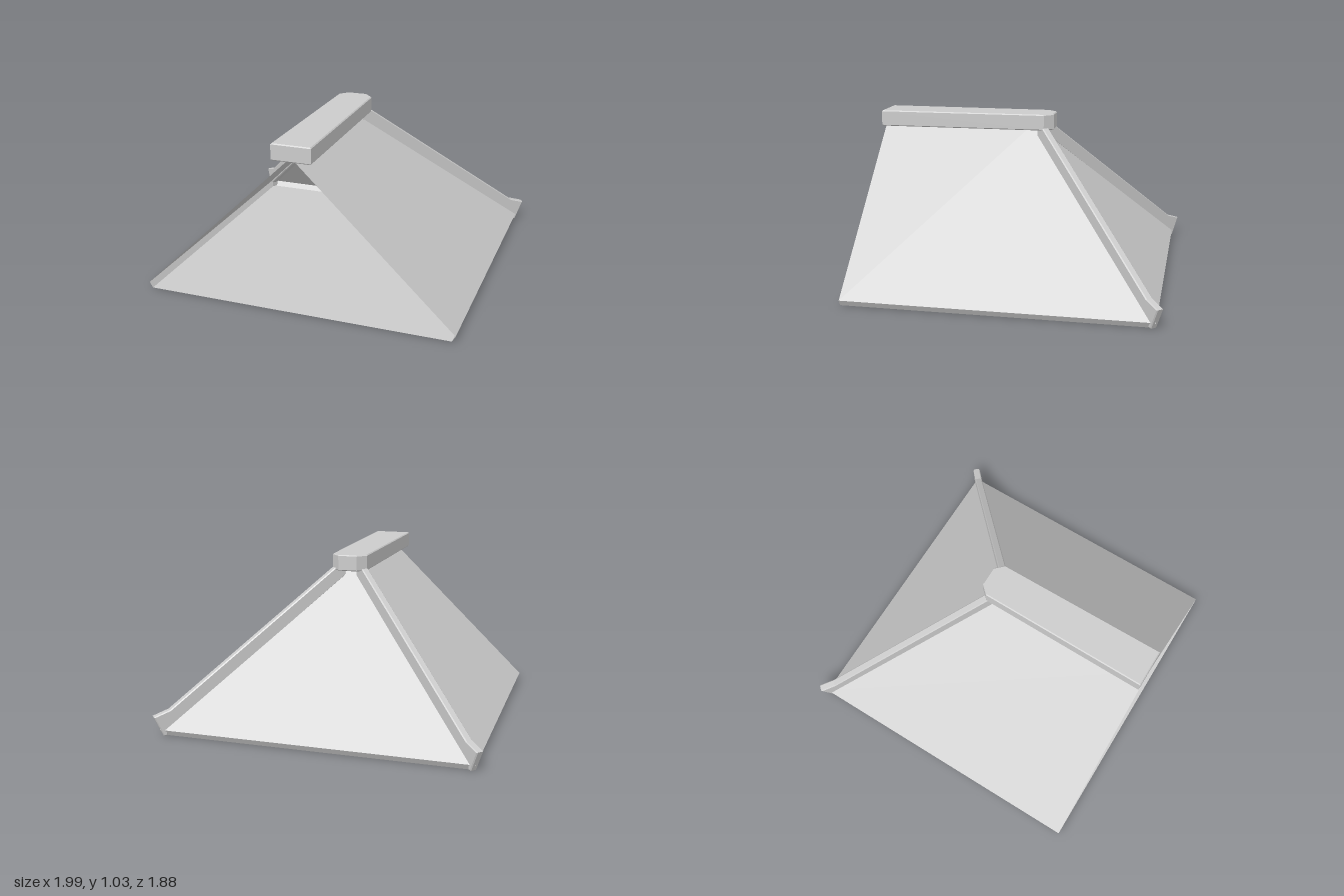
import * as THREE from 'three';

const material = new THREE.MeshStandardMaterial({ color: 0xcccccc, flatShading: true, side: THREE.DoubleSide });

// Flat panel from three or four corners, counter-clockwise seen from outside.
function panel(name, ...corners) {
  const order = corners.length === 4 ? [0, 1, 2, 0, 2, 3] : [0, 1, 2];
  const geometry = new THREE.BufferGeometry();
  geometry.setAttribute('position', new THREE.Float32BufferAttribute(order.flatMap(i => corners[i]), 3));
  geometry.computeVertexNormals();
  const mesh = new THREE.Mesh(geometry, material);
  mesh.name = name;
  return mesh;
}

// Outline extruded to a total depth, centred, with a small chamfer inside the outline.
function slab(name, outline, depth, chamfer) {
  const shape = new THREE.Shape(outline.map(([x, y]) => new THREE.Vector2(x, y)));
  const geometry = new THREE.ExtrudeGeometry(shape, {
    depth: depth - 2 * chamfer, bevelEnabled: true, bevelSegments: 1,
    bevelSize: chamfer, bevelThickness: chamfer, bevelOffset: -chamfer
  });
  geometry.translate(0, 0, chamfer - depth / 2);
  const mesh = new THREE.Mesh(geometry, material);
  mesh.name = name;
  return mesh;
}

export function createModel() {
  const roof = new THREE.Group();
  roof.name = 'hippedRoof';

  const front = 0.94, apexZ = -0.04, apexY = 0.96;
  const eaveX = 0.96, eaveZ = -0.9, eaveY = 0.035; // lower edge of the slopes
  const baseX = 0.94, baseZ = -0.88;               // floor edge, slightly inset

  // Side slopes and their narrow eave strips
  for (const s of [1, -1]) {
    const slope = [[s * eaveX, eaveY, front], [s * eaveX, eaveY, eaveZ], [0, apexY, apexZ], [0, apexY, front]];
    const strip = [[s * baseX, 0, front], [s * baseX, 0, baseZ], [s * eaveX, eaveY, eaveZ], [s * eaveX, eaveY, front]];
    if (s < 0) { slope.reverse(); strip.reverse(); }
    const side = s > 0 ? 'left' : 'right';
    roof.add(panel(side + 'Slope', ...slope), panel(side + 'Eave', ...strip));
  }

  // Back hip slope, its eave and the floor; the front gable stays open
  roof.add(
    panel('backSlope', [eaveX, eaveY, eaveZ], [-eaveX, eaveY, eaveZ], [0, apexY, apexZ]),
    panel('backEave', [baseX, 0, baseZ], [-baseX, 0, baseZ], [-eaveX, eaveY, eaveZ], [eaveX, eaveY, eaveZ]),
    panel('floor', [-baseX, 0, baseZ], [baseX, 0, baseZ], [baseX, 0, front], [-baseX, 0, front])
  );

  // Ridge beam with clipped back corners, tapering slightly to the back
  const ridge = slab('ridgeCap', [
    [-0.12, -front], [0.12, -front], [0.112, 0.12], [0.06, 0.175], [-0.06, 0.175], [-0.112, 0.12]
  ], 0.1, 0.006);
  ridge.rotation.x = -Math.PI / 2;
  ridge.position.y = 0.98;
  roof.add(ridge);

  // Hip caps: side profile with an upturned foot, stood along each hip line
  const run = eaveZ - apexZ;
  const stretch = Math.hypot(eaveX, run) / eaveX;
  const profile = [
    [0.945, 0], [0.986, 0.125], [0.912, 0.157], [0.1, 0.945],
    [0.05, 0.945], [0.05, 0.89], [0.925, 0.035], [0.93, 0]
  ].map(([x, y]) => [x * stretch, y]);
  for (const s of [1, -1]) {
    const cap = slab(s > 0 ? 'leftHipCap' : 'rightHipCap', profile, 0.046, 0.006);
    cap.rotation.y = Math.atan2(-run, s * eaveX);
    cap.position.z = apexZ;
    roof.add(cap);
  }
  return roof;
}
